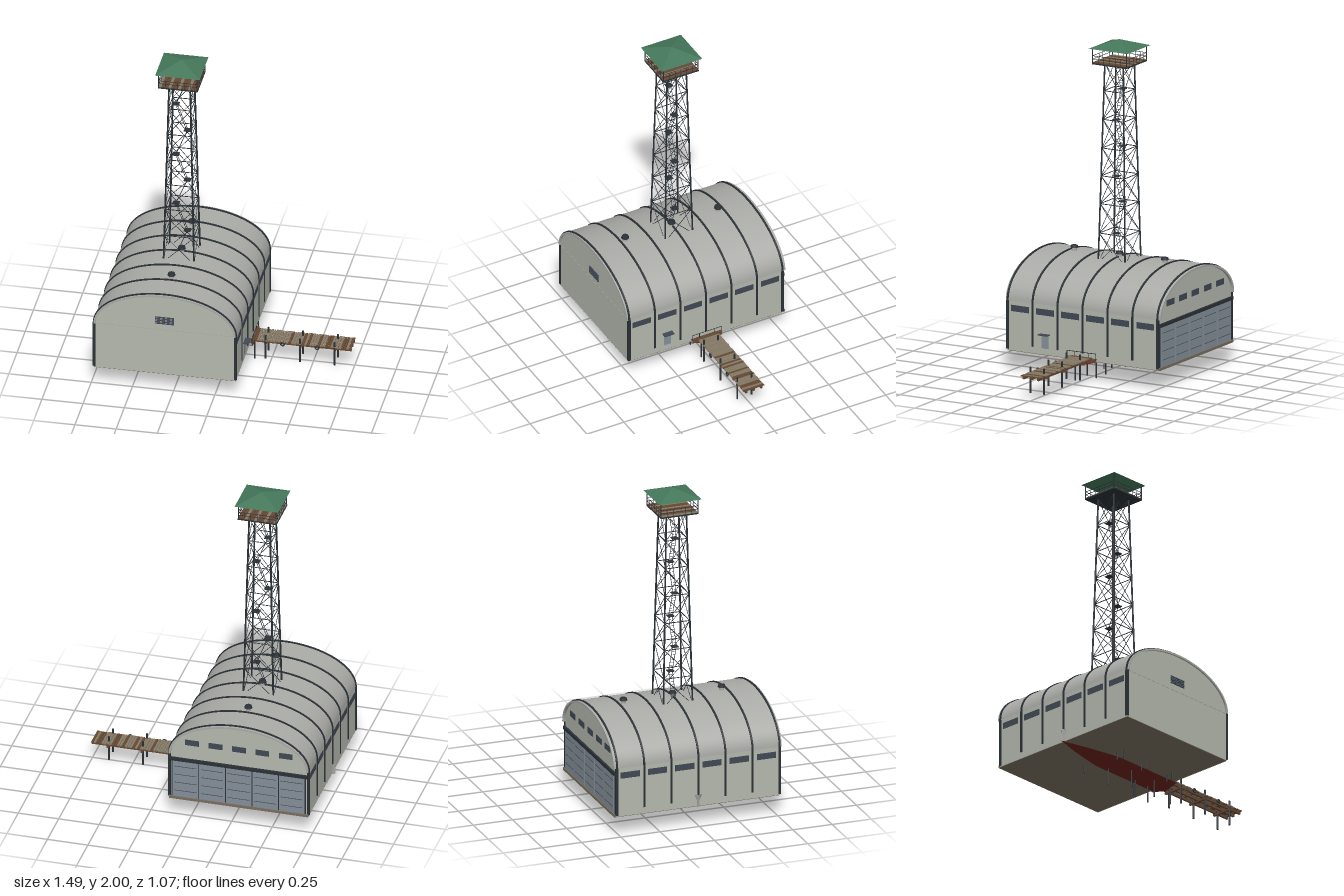
import * as THREE from 'three';
import { toCreasedNormals } from 'three/addons/utils/BufferGeometryUtils.js';

const mat = (name, color, side = THREE.FrontSide) => {
  const m = new THREE.MeshStandardMaterial({ color, side });
  m.name = name;
  return m;
};

export function createModel() {
  const M = {
    wall: mat('pale wall', 0xb4b8ad),
    roof: mat('grey roof', 0xaaaba7, THREE.DoubleSide),
    steel: mat('dark steel', 0x2b3136),
    green: mat('green roofing', 0x44775a),
    wood: mat('weathered wood', 0x857a66),
    brown: mat('brown wood', 0x654832),
    red: mat('red hull paint', 0x6b211a, THREE.DoubleSide),
    slab: mat('floor slab', 0x776d5e),
    door: mat('blue grey door', 0x848f98),
    glass: mat('dark glass', 0x414954),
  };
  const root = new THREE.Group();
  const CX = -0.3, HW = 0.425, BASE = 0.125, EAVE = 0.43, RISE = 0.24;

  const group = (name, parent = root) => {
    const g = new THREE.Group();
    g.name = name;
    parent.add(g);
    return g;
  };
  const add = (parent, name, geo, m, x = 0, y = 0, z = 0) => {
    const mesh = new THREE.Mesh(geo, m);
    mesh.name = name;
    mesh.position.set(x, y, z);
    parent.add(mesh);
    return mesh;
  };
  const box = (parent, name, m, w, h, d, x, y, z) =>
    add(parent, name, new THREE.BoxGeometry(w, h, d), m, x, y, z);
  const UP = new THREE.Vector3(0, 1, 0);
  const bar = (parent, name, m, a, b, r, sides = 5) => {
    const A = new THREE.Vector3(...a), B = new THREE.Vector3(...b), d = B.clone().sub(A);
    const mesh = add(parent, name, new THREE.CylinderGeometry(r, r, d.length(), sides), m);
    mesh.position.copy(A).add(B).multiplyScalar(0.5);
    mesh.quaternion.setFromUnitVectors(UP, d.normalize());
    return mesh;
  };

  // Elliptical arch points, from the right eave over to the left eave
  const arc = (rx, ry, n = 40) => Array.from({ length: n + 1 }, (_, i) => {
    const a = Math.PI * i / n;
    return new THREE.Vector2(CX + rx * Math.cos(a), EAVE + ry * Math.sin(a));
  });
  const extrude = (pts, depth) => toCreasedNormals(
    new THREE.ExtrudeGeometry(new THREE.Shape(pts), { depth, bevelEnabled: false }), 0.5);
  const archBand = (rx, ry, t, depth) =>
    extrude([...arc(rx, ry), ...arc(rx - t, ry - t).reverse()], depth);

  // Shed: shell, walls and floor
  const shed = group('shed');
  add(shed, 'archedRoof', archBand(0.431, RISE, 0.012, 1.07), M.roof, 0, 0, -0.538);
  const gable = [new THREE.Vector2(CX + HW, BASE), ...arc(HW, RISE - 0.006), new THREE.Vector2(CX - HW, BASE)];
  add(shed, 'frontWall', extrude(gable, 0.012), M.wall, 0, 0, 0.51);
  add(shed, 'backWall', extrude(gable, 0.012), M.wall, 0, 0, -0.522);
  box(shed, 'floor', M.slab, 0.86, 0.016, 1.055, CX, 0.13, -0.007);
  box(shed, 'frontSeam', M.roof, 0.85, 0.003, 0.003, CX, EAVE, 0.522);
  for (const s of [1, -1]) {
    const x = CX + s * HW;
    box(shed, 'sideWall', M.wall, 0.012, EAVE - BASE, 1.04, x, (EAVE + BASE) / 2, 0);
    for (let i = 0; i < 6; i++)
      box(shed, 'sideWindow', M.glass, 0.006, 0.038, 0.122, x + s * 0.006, 0.384, (i - 2.5) * 0.1735);
  }
  // Steel ribs running down into pilasters
  const rib = archBand(0.437, RISE + 0.006, 0.016, 0.011);
  for (let i = -3; i <= 3; i++) {
    const z = i * 0.1725, end = Math.abs(i) === 3, low = end ? 0.132 : 0.165;
    add(shed, 'roofRib', rib, M.steel, 0, 0, z - 0.0055);
    for (const s of [1, -1])
      box(shed, 'pilaster', M.steel, 0.016, EAVE - low, end ? 0.016 : 0.011, CX + s * 0.429, (EAVE + low) / 2, z);
  }
  // Front louvre
  for (let i = 0; i < 5; i++)
    box(shed, 'louvreSlat', M.glass, 0.115, 0.006, 0.006, CX, 0.473 + i * 0.0105, 0.524);
  // Roof ventilators
  for (const z of [-0.313, 0, 0.313]) {
    add(shed, 'ventStem', new THREE.CylinderGeometry(0.015, 0.015, 0.03, 16), M.roof, CX, 0.678, z);
    add(shed, 'ventCap', new THREE.CylinderGeometry(0.02, 0.024, 0.014, 20), M.steel, CX, 0.695, z);
  }
  // Side door with awning
  box(shed, 'sideDoor', M.door, 0.008, 0.085, 0.045, 0.131, 0.205, 0.26);
  box(shed, 'awning', M.glass, 0.036, 0.006, 0.065, 0.147, 0.249, 0.26);

  // Back doors with panel seams, header track and high windows
  const doors = group('backDoors');
  const panels = 5, pw = 0.82 / panels;
  for (let i = 0; i < panels; i++) {
    const x = CX + (i - 2) * pw;
    box(doors, 'doorPanel', M.door, pw - 0.006, 0.245, 0.008, x, 0.262, -0.526);
    for (let r = 0; r < 4; r++)
      box(doors, 'panelSeam', M.glass, pw - 0.03, 0.003, 0.003, x, 0.18 + r * 0.055, -0.5305);
    box(doors, 'highWindow', M.glass, 0.085, 0.036, 0.006, CX + (i - 2) * 0.145, 0.515, -0.523);
  }
  box(doors, 'doorRecess', M.steel, 0.83, 0.25, 0.004, CX, 0.262, -0.523);
  box(doors, 'headerTrack', M.steel, 0.85, 0.02, 0.016, CX, 0.394, -0.528);

  // Boat hull: one strip for the bottom and one for the topsides
  const boat = group('boat');
  const N = 24;
  const station = (i) => {
    const t = i / N, fwd = Math.min(1, t / 0.45);
    return {
      x: -0.75 + 0.9 * t,
      top: 0.11 * Math.pow(fwd, 0.35) * (t > 0.7 ? 1 - (t - 0.7) * 0.3 : 1), topY: 0.2 - 0.06 * Math.min(1, t * 3),
      chine: 0.1 * Math.pow(fwd, 0.75), chineY: 0.124,
      keelY: 0.095 + 0.029 * Math.pow(1 - Math.min(1, t / 0.4), 1.5),
    };
  };
  const strip = (section) => {
    const pos = [], idx = [], k = section(station(0)).length;
    for (let i = 0; i <= N; i++) {
      const s = station(i);
      for (const [y, z] of section(s)) pos.push(s.x, y, z);
      if (i < N) for (let j = 0; j < k - 1; j++) {
        const a = i * k + j, b = a + k;
        idx.push(a, a + 1, b, b, a + 1, b + 1);
      }
    }
    const g = new THREE.BufferGeometry();
    g.setAttribute('position', new THREE.Float32BufferAttribute(pos, 3));
    g.setIndex(idx);
    g.computeVertexNormals();
    return g;
  };
  add(boat, 'hullBottom', strip(s => [[s.chineY, -s.chine], [s.keelY, 0], [s.chineY, s.chine]]), M.red);
  for (const q of [1, -1])
    add(boat, 'topside', strip(s => [[s.chineY, q * s.chine], [s.topY, q * s.top]]), M.roof);
  box(boat, 'transom', M.brown, 0.018, 0.022, 0.2, 0.142, 0.131, 0);
  bar(boat, 'sternRail', M.steel, [0.146, 0.176, -0.1], [0.146, 0.176, 0.1], 0.002);
  for (const z of [-0.1, -0.05, 0.05, 0.1])
    bar(boat, 'railPost', M.steel, [0.146, 0.13, z], [0.146, 0.176, z], 0.002);

  // Piles under the shed: long ones beside the keel, short cradle legs outboard
  const piles = group('piles');
  [-0.3, -0.185, -0.07, 0.01, 0.04, 0.15].forEach((x, i) =>
    bar(piles, 'longPile', M.steel, [x, 0, i % 2 ? 0.04 : -0.04], [x, 0.125, i % 2 ? 0.04 : -0.04], 0.004, 8));
  for (const x of [-0.41, -0.2, 0.02]) for (const z of [0.18, 0.135, -0.135])
    bar(piles, 'shortPile', M.steel, [x, 0.07, z], [x, 0.125, z], 0.004, 8);

  // Jetty: mixed planks on stringers and posts
  const jetty = group('jetty');
  let seed = 7;
  const rnd = () => (seed = (seed * 16807) % 2147483647) / 2147483647;
  for (let i = 0; i < 38; i++) {
    const m = rnd() < 0.32 ? M.brown : M.wood;
    box(jetty, 'plank', m, 0.0135, 0.006, 0.132 + rnd() * 0.008, 0.145 + i * 0.0159, 0.144 + rnd() * 0.003, 0);
  }
  for (const z of [-0.05, 0, 0.05])
    box(jetty, 'stringer', M.brown, 0.605, 0.014, 0.012, 0.438, 0.134, z);
  for (const x of [0.22, 0.43, 0.64]) {
    for (const z of [-0.035, 0.06]) bar(jetty, 'jettyPost', M.steel, [x, 0.022, z], [x, 0.18, z], 0.006, 8);
    box(jetty, 'crossBeam', M.brown, 0.014, 0.012, 0.13, x, 0.124, 0);
  }
  for (const x of [0.325, 0.535])
    add(jetty, 'fender', new THREE.TorusGeometry(0.011, 0.004, 8, 16), M.steel, x, 0.138, 0.072);

  // Lattice tower
  const tower = group('tower');
  const Y0 = 0.64, Y1 = 1.86;
  const half = y => 0.092 - 0.028 * (y - 0.67) / (Y1 - 0.67);
  const corner = (k, y) => {
    const h = half(y);
    return [CX + (k === 0 || k === 3 ? h : -h), y, k < 2 ? h : -h];
  };
  const levels = [Y0, 0.82, 1.0, 1.17, 1.34, 1.515, 1.69, Y1];
  for (let k = 0; k < 4; k++) {
    const n = (k + 1) % 4;
    bar(tower, 'leg', M.steel, corner(k, Y0), corner(k, Y1), 0.0055, 6);
    for (let i = 0; i < levels.length - 1; i++) {
      const a = levels[i], b = levels[i + 1];
      bar(tower, 'brace', M.steel, corner(k, a), corner(n, b), 0.0019);
      bar(tower, 'brace', M.steel, corner(n, a), corner(k, b), 0.0019);
      bar(tower, 'girt', M.steel, corner(k, b), corner(n, b), 0.0026);
    }
  }
  // Zigzag ladders and small landings
  for (let i = 0; i < levels.length - 1; i++) {
    const s = i % 2 ? 1 : -1, a = levels[i], b = levels[i + 1];
    const xa = CX + s * 0.035, xb = CX - s * 0.035;
    for (const z of [-0.012, 0.012])
      bar(tower, 'ladderRail', M.steel, [xa, a, z], [xb, b, z], 0.0016);
    for (let r = 1; r < 9; r++) {
      const x = xa + (xb - xa) * r / 9, y = a + (b - a) * r / 9;
      bar(tower, 'rung', M.steel, [x, y, -0.012], [x, y, 0.012], 0.0012, 4);
    }
    if (i < levels.length - 2) box(tower, 'landing', M.steel, 0.04, 0.004, 0.04, xb, b, 0);
  }

  // Lookout: deck, railings, posts and pyramid roof
  const lookout = group('lookout');
  box(lookout, 'deckFrame', M.steel, 0.24, 0.008, 0.24, CX, 1.86, 0);
  for (let i = 0; i < 12; i++)
    box(lookout, 'deckBoard', i % 3 ? M.brown : M.wood, 0.018, 0.005, 0.236, CX + (i - 5.5) * 0.0197, 1.866, 0);
  const R = 0.117;
  for (let k = 0; k < 4; k++) {
    const side = group('railing', lookout);
    side.position.x = CX;
    side.rotation.y = k * Math.PI / 2;
    bar(side, 'cornerPost', M.steel, [R, 1.86, R], [R, 1.955, R], 0.0032, 6);
    for (const y of [1.888, 1.908]) bar(side, 'rail', M.steel, [-R, y, R], [R, y, R], 0.0017);
    for (let i = -2; i <= 2; i++)
      bar(side, 'baluster', M.steel, [i * 0.039, 1.86, R], [i * 0.039, 1.908, R], 0.0014);
  }
  const cap = new THREE.ConeGeometry(0.135 * Math.SQRT2, 0.048, 4, 1).toNonIndexed();
  cap.computeVertexNormals();
  add(lookout, 'pyramidRoof', cap, M.green, CX, 1.976, 0).rotation.y = Math.PI / 4;

  return root;
}
